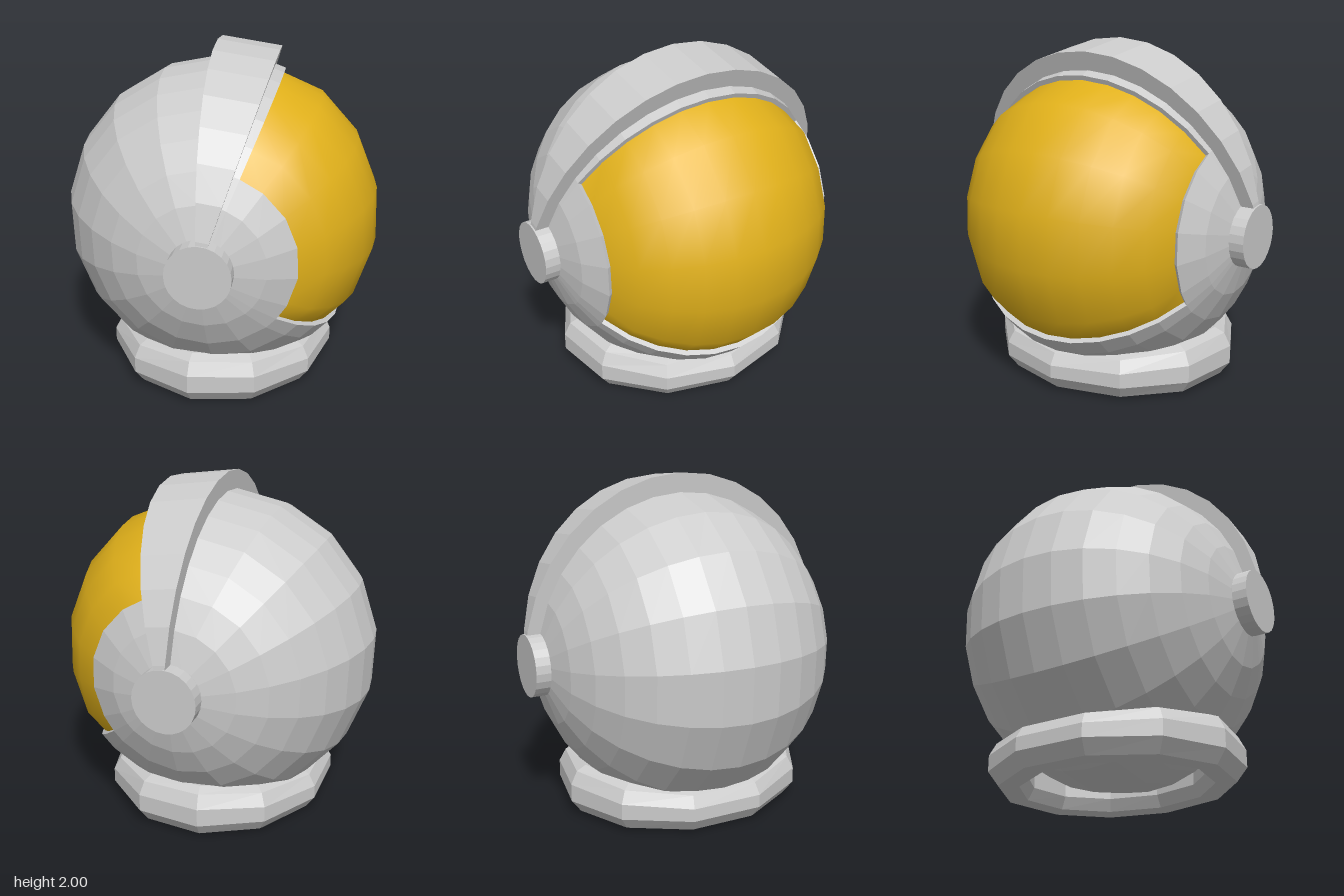
import * as THREE from 'three';

const CY = 0.95;            // height of the shell centre
const R = 0.935, K = 0.952; // shell radius, flattening along z
const STEP = 11.25;
const TOP = 68, LOW = -39.3;      // visor opening, angles about the z axis
const SIDE0 = 3, SIDE1 = 13;      // visor opening, ring numbers from +z to -z

const grey = new THREE.MeshStandardMaterial({ color: 0xcccccc, flatShading: true });
const greyOpen = new THREE.MeshStandardMaterial({ color: 0xcccccc, flatShading: true, side: THREE.DoubleSide });
const gold = new THREE.MeshStandardMaterial({ color: 0xe0b01a });

// Point on the ellipsoid: theta from the +z pole, phi about the z axis (degrees)
function onShell(theta, phi, radius = R, k = K) {
  const t = THREE.MathUtils.degToRad(theta), p = THREE.MathUtils.degToRad(phi);
  const r = radius * Math.sin(t);
  return [r * Math.cos(p), CY + r * Math.sin(p), radius * k * Math.cos(t)];
}

// Surface through a grid of points
function gridGeometry(rows, cols, point) {
  const pos = [], idx = [];
  for (let i = 0; i < rows; i++) for (let j = 0; j < cols; j++) pos.push(...point(i, j));
  for (let i = 0; i < rows - 1; i++) {
    for (let j = 0; j < cols - 1; j++) {
      const a = i * cols + j, b = a + cols;
      idx.push(a, b, b + 1, a, b + 1, a + 1);
    }
  }
  const g = new THREE.BufferGeometry();
  g.setAttribute('position', new THREE.Float32BufferAttribute(pos, 3));
  g.setIndex(idx);
  g.computeVertexNormals();
  return g;
}

function add(group, name, geometry, material) {
  const mesh = new THREE.Mesh(geometry, material);
  mesh.name = name;
  group.add(mesh);
  return mesh;
}

const range = (a, b) => Array.from({ length: b - a + 1 }, (_, i) => a + i);

export function createModel() {
  const model = new THREE.Group();
  model.name = 'helmet';

  // Shell: the part behind the opening, then the two cheeks beside it
  const shell = new THREE.Group();
  shell.name = 'shell';
  model.add(shell);
  const patch = (name, thetas, phis) =>
    add(shell, name, gridGeometry(thetas.length, phis.length, (i, j) => onShell(thetas[i], phis[j])), grey);

  const openPhis = [LOW, -28, -8, 12, 32, 52, TOP];
  const backPhis = [TOP, ...range(0, 12).map(i => 72 + 20 * i), 360 + LOW];
  const allThetas = [0.5, ...range(1, 15), 15.5].map(i => i * STEP);
  patch('shellBack', allThetas, backPhis);
  patch('leftCheek', allThetas.filter(t => t <= SIDE0 * STEP), openPhis);
  patch('rightCheek', allThetas.filter(t => t >= SIDE1 * STEP), openPhis);

  // Rim wall around the visor opening
  const visorThetas = range(SIDE0, SIDE1).map(i => i * STEP);
  const loop = [
    ...openPhis.map(p => [SIDE0 * STEP, p]),
    ...visorThetas.map(t => [t, TOP]),
    ...[...openPhis].reverse().map(p => [SIDE1 * STEP, p]),
    ...[...visorThetas].reverse().map(t => [t, LOW]),
  ];
  add(shell, 'openingRim', gridGeometry(2, loop.length,
    (i, j) => onShell(...loop[j], i ? R * 0.95 : R)), greyOpen);

  // Visor: smooth, sinking slightly at its border
  const nT = visorThetas.length, nP = openPhis.length;
  add(model, 'visor', gridGeometry(nT, nP, (i, j) => {
    const border = i === 0 || j === 0 || i === nT - 1 || j === nP - 1;
    return onShell(visorThetas[i], openPhis[j], border ? R * 0.968 : R);
  }), gold);

  // Raised band running over the top from ear to ear
  const bandThetas = [8, ...range(1, 15).map(i => i * STEP), 172];
  const section = [[72, 1.05, 0.92], [92, 1.05, 0.92], [92, 0.92, K], [72, 0.92, K], [72, 1.05, 0.92]];
  add(model, 'topBand', gridGeometry(bandThetas.length, section.length,
    (i, j) => onShell(bandThetas[i], ...section[j])), grey);

  // Round ear caps
  for (const s of [1, -1]) {
    const cap = add(model, s > 0 ? 'leftEarCap' : 'rightEarCap',
      new THREE.CylinderGeometry(0.183, 0.183, 0.12, 24), grey);
    cap.rotation.x = Math.PI / 2;
    cap.position.set(0.003, CY, s * 0.9);
  }

  // Neck ring: eleven-sided oval, its top rising toward the sides
  const profile = [[0, 0.1], [0, 0.2], [-0.04, 0.275], [-0.1, 0.3], [-0.18, 0.29], [-0.22, 0.22],
    [-0.22, 0.09], [-0.18, 0.02], [-0.12, 0], [-0.06, 0.02], [0, 0.1]];
  add(model, 'neckRing', gridGeometry(12, profile.length, (i, j) => {
    const a = -i / 11 * Math.PI * 2, c = Math.cos(a), s = Math.sin(a);
    const [d, h] = profile[j];
    const y = h > 0.15 ? h * (0.88 + 0.16 * s * s) : h;
    return [(0.68 + d) * c - 0.004, y, (0.76 + d) * s];
  }), grey);

  return model;
}
